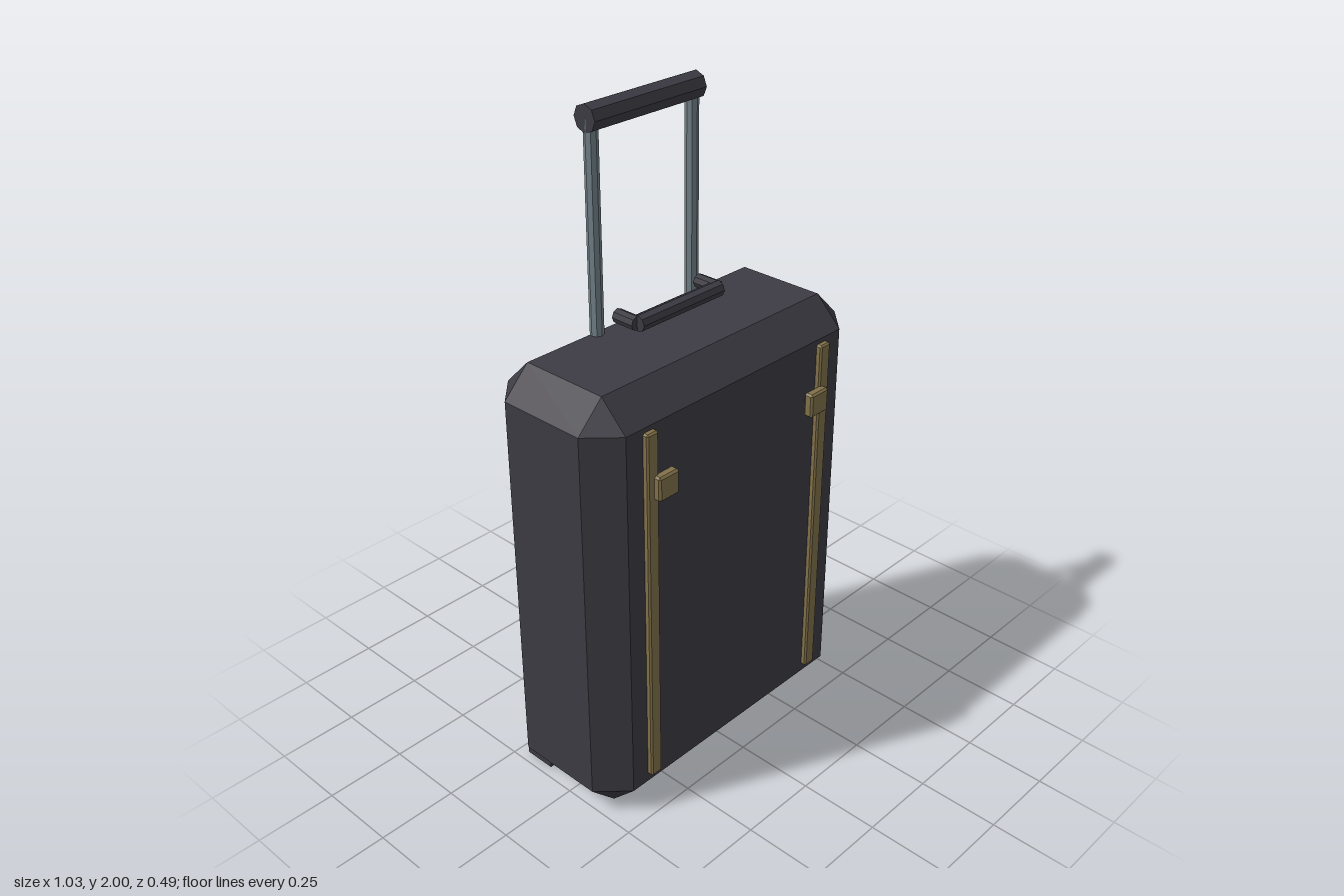
import * as THREE from 'three';
import { ConvexGeometry } from 'three/addons/geometries/ConvexGeometry.js';

// Box with every edge and corner cut by c
function chamferBox(w, h, d, c) {
  const half = [w / 2, h / 2, d / 2];
  const points = [];
  for (let axis = 0; axis < 3; axis++) {
    for (const sx of [-1, 1]) for (const sy of [-1, 1]) for (const sz of [-1, 1]) {
      const s = [sx, sy, sz];
      points.push(new THREE.Vector3(...half.map((v, i) => s[i] * (i === axis ? v : v - c))));
    }
  }
  return new ConvexGeometry(points);
}

// Eight-sided rod along the given axis, centred on its origin
function rod(radius, length, axis) {
  const g = new THREE.CylinderGeometry(radius, radius, length, 8);
  if (axis === 'x') g.rotateZ(Math.PI / 2);
  if (axis === 'z') g.rotateX(Math.PI / 2);
  return g;
}

export function createModel() {
  const model = new THREE.Group();
  model.name = 'suitcase';

  const material = (name, color) => {
    const m = new THREE.MeshStandardMaterial({ color, flatShading: true });
    m.name = name;
    return m;
  };
  const shell = material('charcoal shell', 0x3d3b43);
  const steel = material('grey steel', 0x74838a);
  const brass = material('dull brass', 0x82714a);

  const add = (name, geometry, mat, x, y, z) => {
    const mesh = new THREE.Mesh(geometry, mat);
    mesh.name = name;
    mesh.position.set(x, y, z);
    model.add(mesh);
  };

  // Case shell
  add('body', chamferBox(1.034, 1.355, 0.45, 0.085), shell, 0, 0.6775, -0.02);

  // Telescopic handle grip
  add('pullGrip', rod(0.039, 0.414, 'x'), shell, 0, 1.961, -0.152);

  // Carry handle grip
  add('carryGrip', rod(0.024, 0.32, 'x'), shell, 0, 1.418, -0.02);

  for (const [side, s] of [['left', 1], ['right', -1]]) {
    // Telescopic poles
    add(side + 'Pole', rod(0.02, 0.65, 'y'), steel, s * 0.188, 1.635, -0.15);
    // Carry handle arms
    add(side + 'CarryArm', rod(0.021, 0.075, 'z'), shell, s * 0.16, 1.418, -0.06);
    // Front straps and their latches
    add(side + 'Strap', chamferBox(0.042, 1.145, 0.03, 0.005), brass, s * 0.351, 0.683, 0.207);
    add(side + 'Latch', chamferBox(0.075, 0.075, 0.03, 0.006), brass, s * 0.311, 1.088, 0.227);
    // Wheel blocks on the lower back edge
    add(side + 'WheelBlock', new THREE.BoxGeometry(0.1, 0.085, 0.1), shell, s * 0.419, 0.0425, -0.167);
  }
  return model;
}
